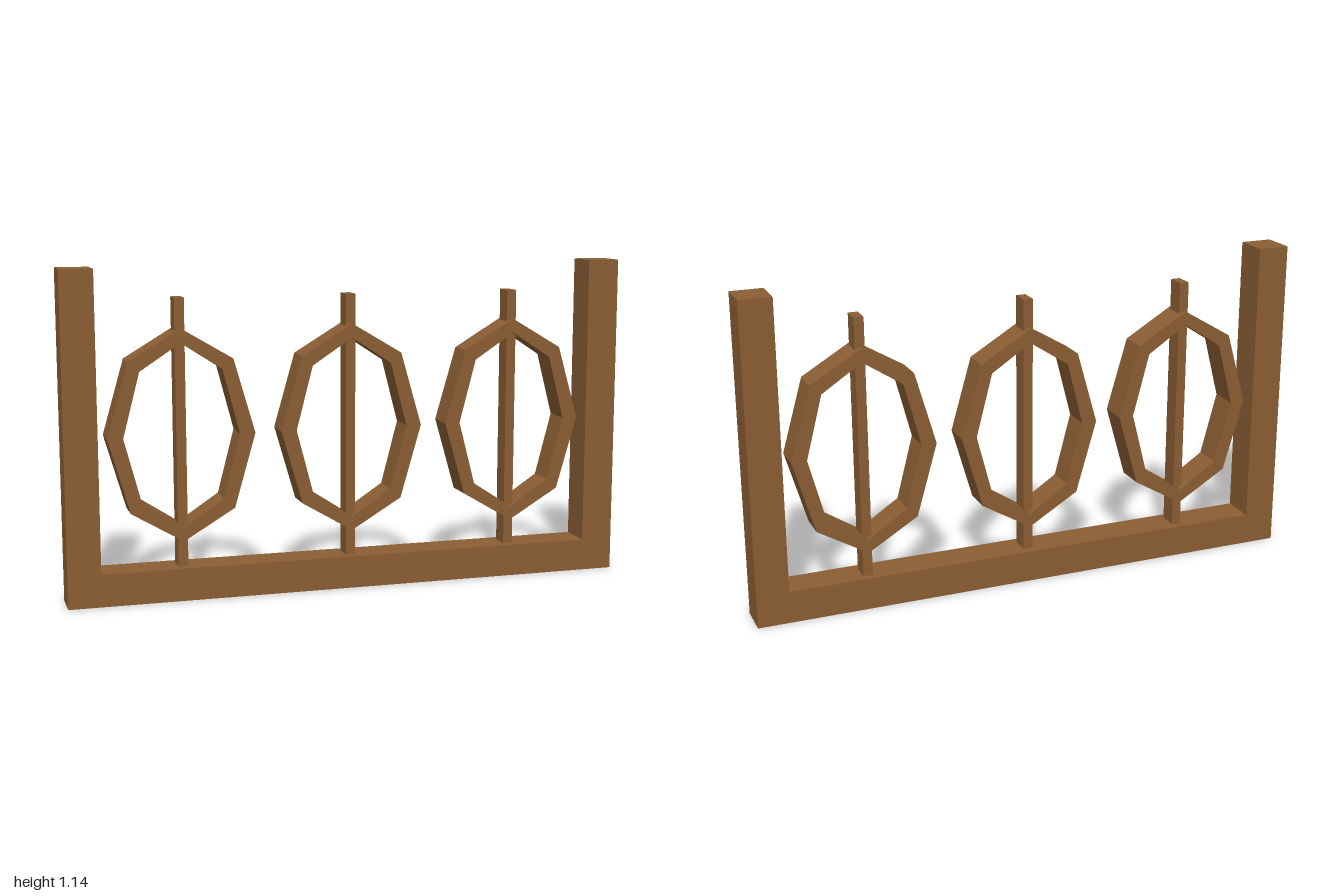
import * as THREE from 'three';

export function createModel() {
  const model = new THREE.Group();
  const wood = new THREE.MeshStandardMaterial({ color: 0x8b5e34 });
  wood.name = 'brown wood';

  const add = (name, geometry, x, y, z = 0) => {
    const mesh = new THREE.Mesh(geometry, wood);
    mesh.name = name;
    mesh.position.set(x, y, z);
    model.add(mesh);
  };

  // Eight corners on an ellipse, one at the top
  const octagon = (rx, ry) => Array.from({ length: 8 }, (_, i) => {
    const a = i * Math.PI / 4;
    return new THREE.Vector2(rx * Math.cos(a), ry * Math.sin(a));
  });

  // Frame: bottom rail between two end posts
  const postW = 0.114, postH = 1.143, depth = 0.125;
  const postGeo = new THREE.BoxGeometry(postW, postH, depth);
  add('leftPost', postGeo, 1 - postW / 2, postH / 2);
  add('rightPost', postGeo, -1 + postW / 2, postH / 2);
  add('bottomRail', new THREE.BoxGeometry(2 - 2 * postW, postW, depth), 0, postW / 2);

  // Tall octagonal ring with an open centre
  const ringDepth = 0.106;
  const ringShape = new THREE.Shape(octagon(0.254, 0.366));
  ringShape.holes.push(new THREE.Path(octagon(0.2, 0.317)));
  const ringGeo = new THREE.ExtrudeGeometry(ringShape, { depth: ringDepth, bevelEnabled: false });

  // Three spindles, each threaded through a ring
  const top = 1.04;
  const spindleGeo = new THREE.BoxGeometry(0.034, top - postW, 0.068);
  ['right', 'middle', 'left'].forEach((side, i) => {
    const x = (i - 1) * 0.6;
    add(side + 'Spindle', spindleGeo, x, (top + postW) / 2);
    add(side + 'Ring', ringGeo, x, 0.573, -ringDepth / 2);
  });

  return model;
}
